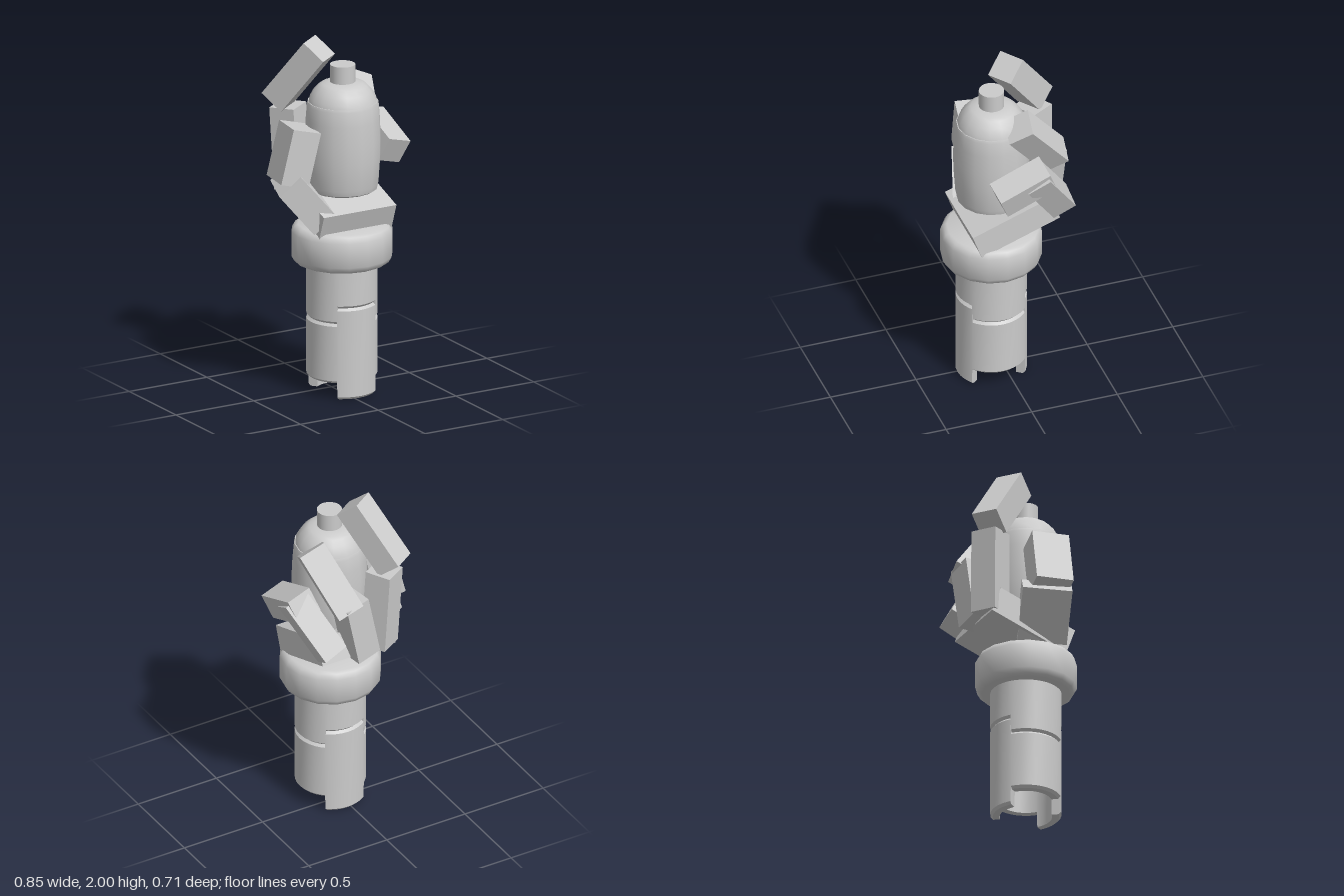
import * as THREE from 'three';
import { toCreasedNormals } from 'three/addons/utils/BufferGeometryUtils.js';

const material = new THREE.MeshStandardMaterial({ color: 0xcccccc, side: THREE.DoubleSide });
const AXIS = [0.025, 0, 0.07];

function addMesh(group, name, geometry) {
  const mesh = new THREE.Mesh(geometry, material);
  mesh.name = name;
  group.add(mesh);
  return mesh;
}

// Box from its centre, two edge vectors and a thickness along the third axis
function orientedBox(group, name, center, edgeA, edgeB, thickness) {
  const a = new THREE.Vector3(...edgeA);
  const b = new THREE.Vector3(...edgeB);
  const lengthA = a.length(), lengthB = b.length();
  a.normalize();
  b.addScaledVector(a, -b.dot(a)).normalize();
  const c = new THREE.Vector3().crossVectors(a, b);
  const mesh = addMesh(group, name, new THREE.BoxGeometry(lengthA, lengthB, thickness));
  mesh.quaternion.setFromRotationMatrix(new THREE.Matrix4().makeBasis(a, b, c));
  mesh.position.set(...center);
}

// Turned part around the forearm axis, profile from bottom to top
function turned(group, name, profile, x = AXIS[0]) {
  const points = profile.map(([r, y]) => new THREE.Vector2(r, y));
  const geometry = toCreasedNormals(new THREE.LatheGeometry(points, 16), 0.75);
  addMesh(group, name, geometry).position.set(x, 0, AXIS[2]);
}

// Hollow sleeve whose rims step between a front/back height and a side height
function sleeve(group, name, bottom, top) {
  const inner = 0.145, outer = 0.197, bevel = 0.014;
  const stepAngle = THREE.MathUtils.degToRad(38.5), eps = 0.01;
  const angles = [];
  for (let i = 0; i < 32; i++) angles.push((i / 32) * Math.PI * 2);
  for (const s of [stepAngle, Math.PI - stepAngle, Math.PI + stepAngle, 2 * Math.PI - stepAngle])
    angles.push(s - eps, s + eps);
  angles.sort((p, q) => p - q);

  const positions = [], indices = [];
  for (const t of angles) {
    const k = Math.abs(Math.cos(t)) > Math.cos(stepAngle) ? 0 : 1;
    const lo = bottom[k], hi = top[k];
    const section = [
      [inner, lo], [outer - bevel, lo], [outer, lo + bevel],
      [outer, hi - bevel], [outer - bevel, hi], [inner, hi],
    ];
    for (const [r, y] of section) positions.push(r * Math.sin(t), y, r * Math.cos(t));
  }
  const n = 6, m = angles.length;
  for (let j = 0; j < m; j++) {
    for (let k = 0; k < n; k++) {
      const j2 = (j + 1) % m, k2 = (k + 1) % n;
      const p = j * n + k, q = j2 * n + k, r = j2 * n + k2, s = j * n + k2;
      indices.push(p, q, r, p, r, s);
    }
  }
  const geometry = new THREE.BufferGeometry();
  geometry.setAttribute('position', new THREE.Float32BufferAttribute(positions, 3));
  geometry.setIndex(indices);
  addMesh(group, name, toCreasedNormals(geometry, 0.6)).position.set(...AXIS);
}

export function createModel() {
  const model = new THREE.Group();
  model.name = 'armHoldingCan';

  // Forearm: two interlocking sleeves and the wrist collar
  const arm = new THREE.Group();
  arm.name = 'forearm';
  model.add(arm);
  sleeve(arm, 'lowerSleeve', [0, 0.092], [0.525, 0.435]);
  sleeve(arm, 'upperSleeve', [0.525, 0.435], [0.77, 0.77]);
  turned(arm, 'wristCollar', [
    [0, 0.745], [0.245, 0.745], [0.265, 0.755], [0.282, 0.785],
    [0.282, 0.925], [0.265, 0.955], [0.245, 0.965], [0, 0.965],
  ]);

  // Spray can: body, shoulder dome and nozzle
  const can = new THREE.Group();
  can.name = 'sprayCan';
  model.add(can);
  turned(can, 'canBody', [
    [0, 1.16], [0.175, 1.16], [0.192, 1.17], [0.2, 1.2], [0.21, 1.35],
    [0.212, 1.45], [0.207, 1.57], [0.2, 1.655], [0.195, 1.67], [0, 1.67],
  ], 0.03);
  turned(can, 'canShoulder', [
    [0.192, 1.665], [0.185, 1.69], [0.163, 1.73], [0.135, 1.76],
    [0.115, 1.772], [0.08, 1.78], [0, 1.785],
  ], 0.03);
  const nozzle = new THREE.CylinderGeometry(0.07, 0.07, 0.12, 32);
  addMesh(can, 'nozzle', nozzle).position.set(0.03, 1.82, 0.07);

  // Hand: palm, three two-part fingers and a two-part thumb
  const hand = new THREE.Group();
  hand.name = 'hand';
  model.add(hand);
  orientedBox(hand, 'palm', [0.029, 1.088, 0.005], [0, 0.166, -0.456], [0.466, 0, 0], 0.155);

  orientedBox(hand, 'firstFingerBase', [-0.13, 1.355, -0.225],
    [0.026, -0.476, 0.01], [-0.132, 0, 0.082], 0.15);
  orientedBox(hand, 'firstFingerTip', [-0.122, 1.79, -0.152],
    [-0.138, -0.325, -0.221], [0.127, 0, -0.09], 0.151);

  orientedBox(hand, 'middleFingerBase', [0.047, 1.29, -0.24],
    [0.08, 0.37, -0.01], [0.147, -0.03, -0.02], 0.15);
  orientedBox(hand, 'middleFingerTip', [0.155, 1.57, -0.149],
    [-0.107, -0.314, -0.246], [0.14, -0.07, 0.0135], 0.151);

  orientedBox(hand, 'lastFingerBase', [0.281, 1.323, -0.168],
    [-0.14, -0.3, -0.197], [0.02, 0.069, -0.122], 0.15);
  orientedBox(hand, 'lastFingerTip', [0.325, 1.407, -0.013],
    [0, 0.12, -0.288], [0.145, -0.037, -0.023], 0.147);

  orientedBox(hand, 'thumbBase', [-0.218, 1.142, 0.063],
    [0.19, -0.236, 0.058], [0.095, 0.014, -0.257], 0.162);
  orientedBox(hand, 'thumbTip', [-0.278, 1.405, 0.06],
    [-0.076, -0.308, -0.008], [0.032, 0, -0.21], 0.167);

  return model;
}
